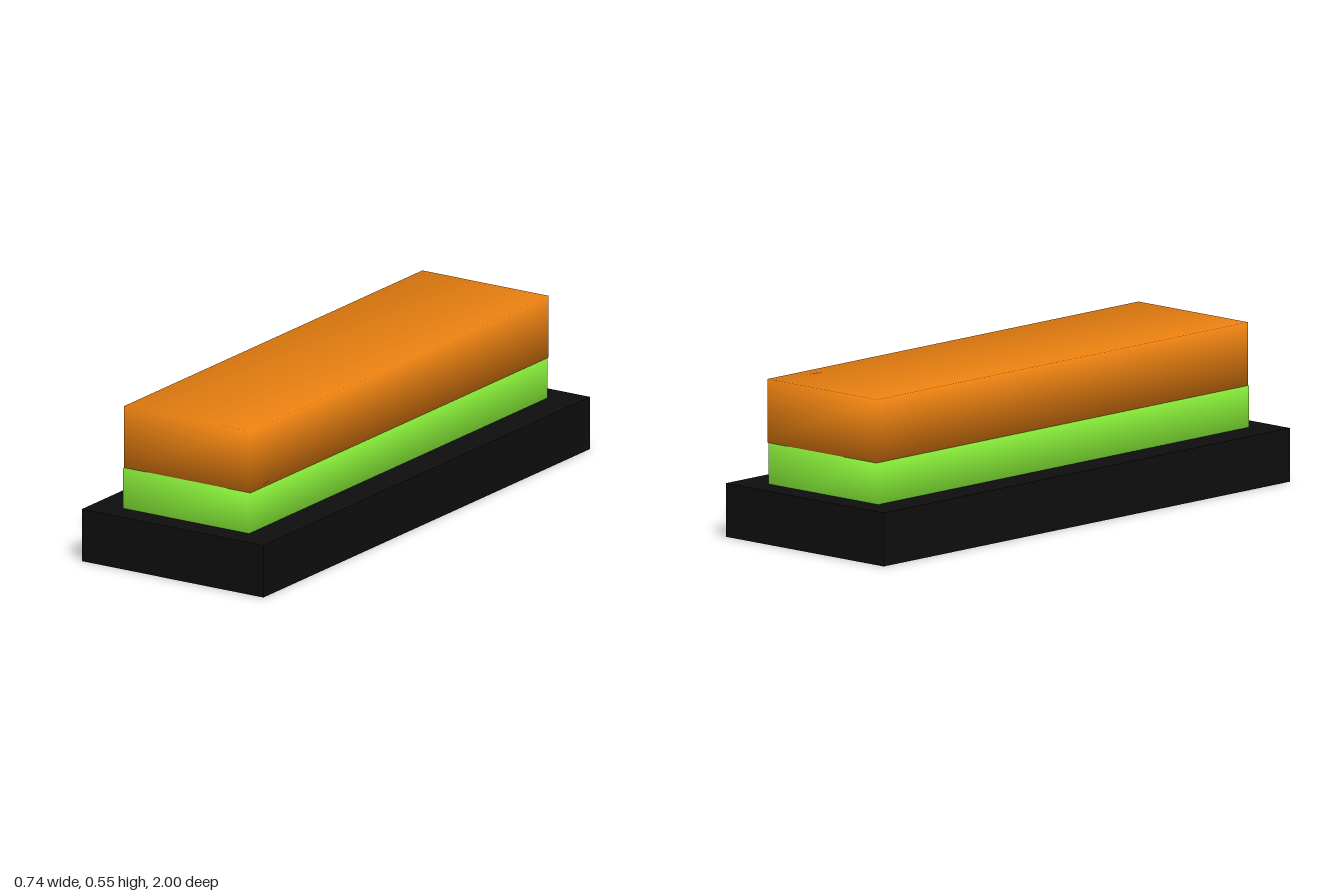
import * as THREE from 'three';
import { mergeVertices } from 'three/addons/utils/BufferGeometryUtils.js';

// Box whose faces share corner vertices, so shading blends across the edges
function softBox(w, h, d) {
  const geo = new THREE.BoxGeometry(w, h, d);
  geo.deleteAttribute('normal');
  geo.deleteAttribute('uv');
  const merged = mergeVertices(geo);
  merged.computeVertexNormals();
  return merged;
}

function addPart(group, name, geometry, color, x, y, z) {
  const mesh = new THREE.Mesh(geometry, new THREE.MeshStandardMaterial({ color }));
  mesh.name = name;
  mesh.position.set(x, y, z);
  group.add(mesh);
}

export function createModel() {
  const group = new THREE.Group();
  group.name = 'stackedBlocks';

  // Wide flat plinth with crisp edges
  addPart(group, 'base', new THREE.BoxGeometry(0.738, 0.185, 2), 0x0d0d0d, 0, 0.0925, 0);

  // Two equal slabs; the lower one is partly sunk into the base
  addPart(group, 'lowerSlab', softBox(0.512, 0.22, 1.825), 0x80e035, -0.001, 0.219, 0.003);
  addPart(group, 'upperSlab', softBox(0.512, 0.22, 1.825), 0xe67e10, 0.001, 0.438, 0);

  return group;
}
